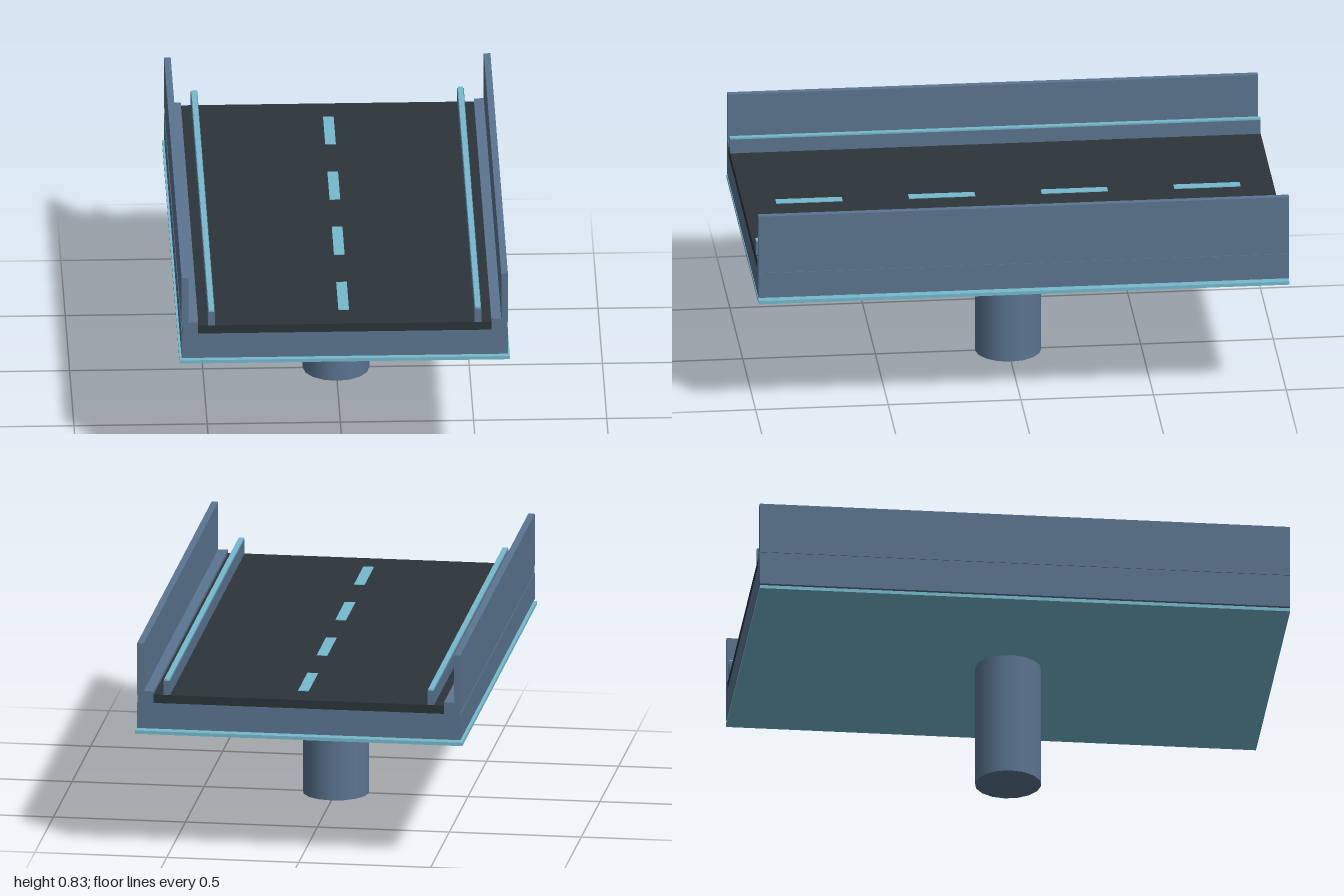
import * as THREE from 'three';

export function createModel() {
  const model = new THREE.Group();
  model.name = 'elevatedRoadSection';

  const material = (name, color) => {
    const m = new THREE.MeshStandardMaterial({ color });
    m.name = name;
    return m;
  };
  const steel = material('blueGreySteel', 0x5b7590);
  const asphalt = material('darkAsphalt', 0x2c343a);
  const cyan = material('paleCyan', 0x76bace);

  const LENGTH = 2;

  // Box given by its x and y limits, with its length along z
  const addBox = (name, mat, x0, x1, y0, y1, length = LENGTH, z = 0) => {
    const mesh = new THREE.Mesh(new THREE.BoxGeometry(x1 - x0, y1 - y0, length), mat);
    mesh.position.set((x0 + x1) / 2, (y0 + y1) / 2, z);
    mesh.name = name;
    model.add(mesh);
  };

  // Support column
  const pillar = new THREE.Mesh(new THREE.CylinderGeometry(0.125, 0.125, 0.5, 16), steel);
  pillar.position.y = 0.25;
  pillar.name = 'pillar';
  model.add(pillar);

  // Deck, road surface and the thin plate hanging below
  addBox('underPlate', cyan, -0.62, 0.62, 0.477, 0.49);
  addBox('deck', steel, -0.6125, 0.6125, 0.5, 0.6);
  addBox('roadSurface', asphalt, -0.55, 0.55, 0.6, 0.6325);

  // Mirrored edges: kerb, side wall and inner guide rail with a bright cap
  for (const [side, s] of [['left', 1], ['right', -1]]) {
    const addEdge = (name, mat, a, b, y0, y1) =>
      addBox(side + name, mat, Math.min(s * a, s * b), Math.max(s * a, s * b), y0, y1);
    addEdge('Kerb', steel, 0.55, 0.61, 0.6, 0.645);
    addEdge('Wall', steel, 0.5875, 0.6125, 0.63, 0.83);
    addEdge('Rail', steel, 0.4875, 0.5125, 0.6325, 0.688);
    addEdge('RailCap', cyan, 0.49, 0.51, 0.688, 0.694);
  }

  // Dashed centre line
  for (const z of [-0.75, -0.25, 0.25, 0.75]) {
    addBox('laneDash', cyan, -0.02, 0.02, 0.6315, 0.635, 0.25, z);
  }

  return model;
}
